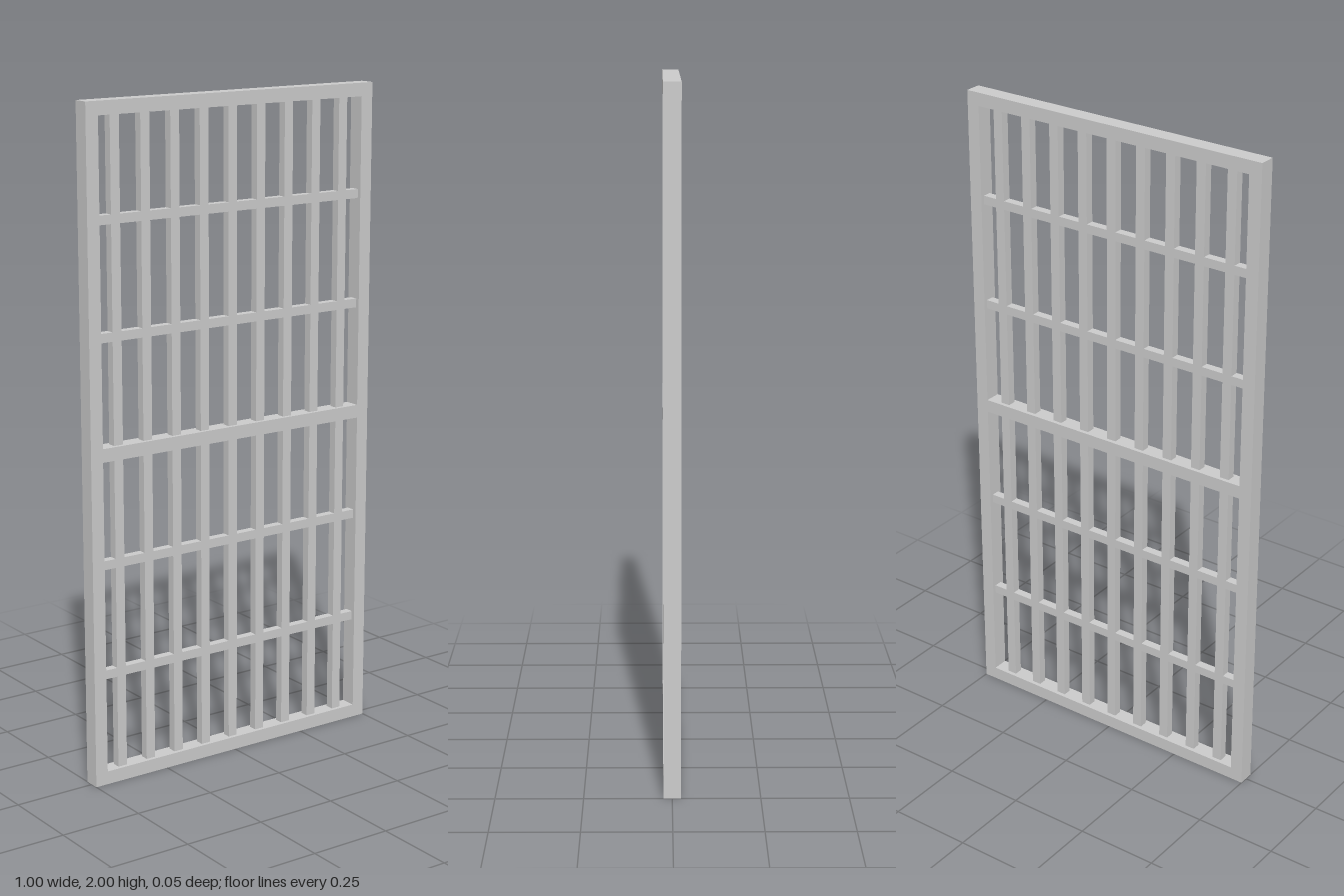
import * as THREE from 'three';

const W = 1, H = 2, DEPTH = 0.05, FRAME = 0.04;
const BAR = 0.03, CROSS = 0.027, BAR_DEPTH = 0.026;

export function createModel() {
  const group = new THREE.Group();
  const material = new THREE.MeshStandardMaterial({ color: 0xcccccc });

  const box = (name, w, h, d, x, y) => {
    const mesh = new THREE.Mesh(new THREE.BoxGeometry(w, h, d), material);
    mesh.name = name;
    mesh.position.set(x, y, 0);
    group.add(mesh);
  };

  // Outer frame: two stiles with rails between them
  const innerW = W - 2 * FRAME;
  for (const [name, side] of [['leftStile', 1], ['rightStile', -1]]) {
    box(name, FRAME, H, DEPTH, side * (W - FRAME) / 2, H / 2);
  }
  box('bottomRail', innerW, FRAME, DEPTH, 0, FRAME / 2);
  box('middleRail', innerW, FRAME, DEPTH, 0, H / 2);
  box('topRail', innerW, FRAME, DEPTH, 0, H - FRAME / 2);

  // Nine upright bars in each of the two panels
  const panelH = H / 2 - 1.5 * FRAME;
  for (const y of [FRAME + panelH / 2, H - FRAME - panelH / 2]) {
    for (let i = -4; i <= 4; i++) box('verticalBar', BAR, panelH, BAR_DEPTH, i * 0.1, y);
  }

  // Thin crossbars dividing each panel into thirds
  for (const k of [1, 2, 4, 5]) {
    box('crossbar', innerW, CROSS, BAR_DEPTH, 0, (k * H) / 6 + 0.003);
  }
  return group;
}
